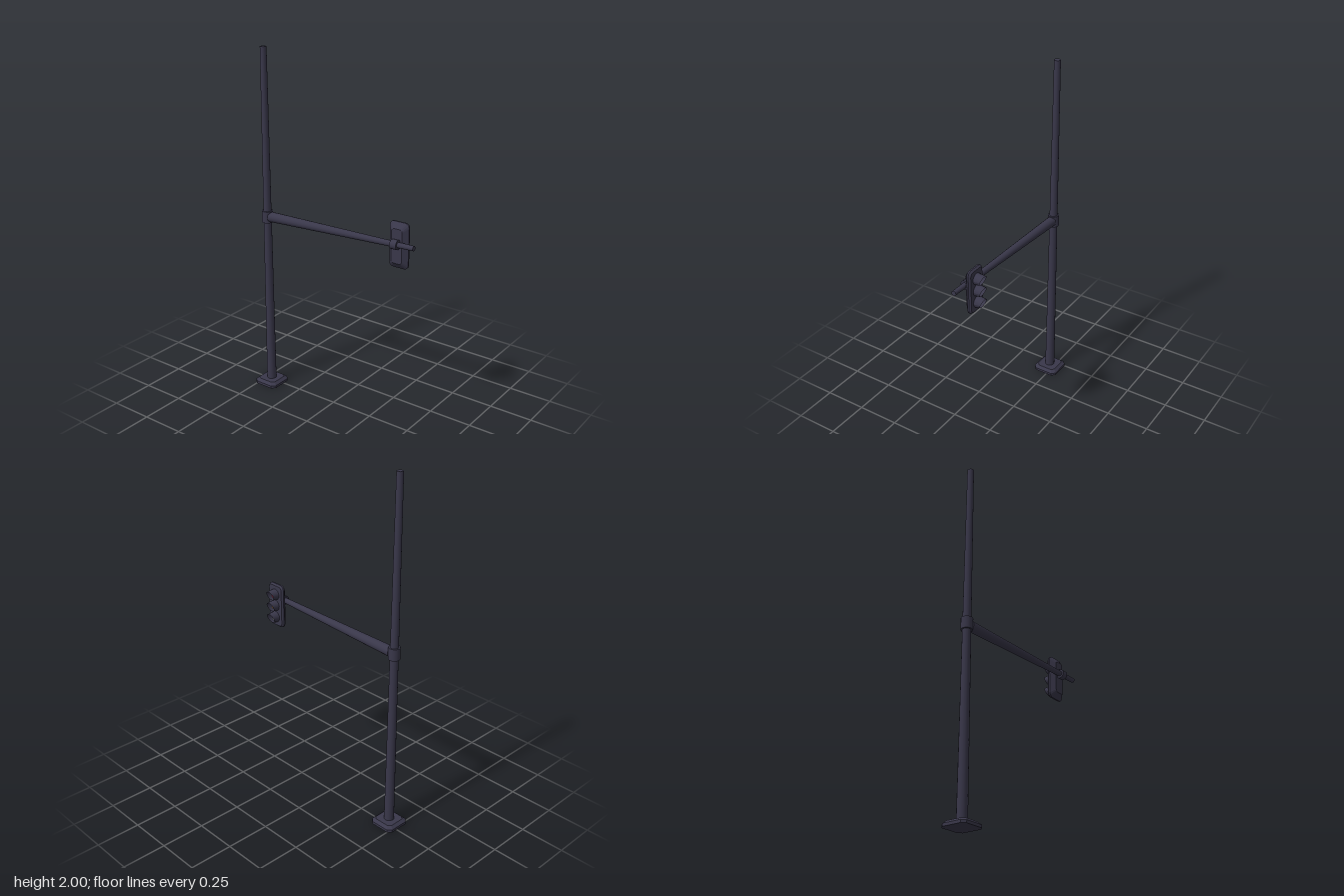
import * as THREE from 'three';

const metal = new THREE.MeshStandardMaterial({ name: 'dark metal', color: 0x39374a });
const hood = new THREE.MeshStandardMaterial({ name: 'dark hood', color: 0x39374a, side: THREE.DoubleSide });
const red = new THREE.MeshStandardMaterial({ name: 'red lens', color: 0xd83a55 });
const amber = new THREE.MeshStandardMaterial({ name: 'amber lens', color: 0xd8963a });
const pale = new THREE.MeshStandardMaterial({ name: 'pale lens', color: 0xd6dad8 });

function add(parent, name, geometry, material, x = 0, y = 0, z = 0) {
  const mesh = new THREE.Mesh(geometry, material);
  mesh.name = name;
  mesh.position.set(x, y, z);
  parent.add(mesh);
  return mesh;
}

// Outline of a rectangle with rounded (or, with one segment, cut) corners
function outline(hw, hh, r, segments) {
  const points = [];
  [[1, 1], [-1, 1], [-1, -1], [1, -1]].forEach(([sx, sy], corner) => {
    for (let i = 0; i <= segments; i++) {
      const a = (corner + i / segments) * Math.PI / 2;
      points.push([sx * (hw - r) + r * Math.cos(a), sy * (hh - r) + r * Math.sin(a)]);
    }
  });
  return points;
}

// Faceted solid through sections [depth, halfWidth, halfHeight, cornerRadius] along z
function loft(sections, segments) {
  const pos = [], index = [], n = 4 * (segments + 1);
  for (const [z, hw, hh, r] of sections)
    for (const [x, y] of outline(hw, hh, r, segments)) pos.push(x, y, z);
  const last = (sections.length - 1) * n, c = sections.length * n;
  pos.push(0, 0, sections[0][0], 0, 0, sections[sections.length - 1][0]);
  for (let i = 0; i < n; i++) {
    const j = (i + 1) % n;
    for (let k = 0; k < last; k += n)
      index.push(k + i, k + j, k + n + j, k + i, k + n + j, k + n + i);
    index.push(c, j, i, c + 1, last + i, last + j);
  }
  const g = new THREE.BufferGeometry();
  g.setAttribute('position', new THREE.Float32BufferAttribute(pos, 3));
  g.setIndex(index);
  const flat = g.toNonIndexed();
  flat.computeVertexNormals();
  return flat;
}

// Tube along x whose mouth is cut back towards the bottom
function visorGeometry() {
  const g = new THREE.CylinderGeometry(0.028, 0.032, 0.05, 16, 1, true).rotateZ(-Math.PI / 2);
  const p = g.attributes.position;
  for (let i = 0; i < p.count; i++) {
    const cut = p.getX(i) > 0 ? 0.022 * (0.5 - p.getY(i) / 0.056) : 0;
    p.setX(i, p.getX(i) + 0.025 - cut);
  }
  g.computeVertexNormals();
  return g;
}

export function createModel() {
  const model = new THREE.Group();
  model.name = 'trafficSignal';
  const px = -0.019, pz = -0.445;

  // Foot, pole and collar
  add(model, 'basePlate', loft([[0, 0.075, 0.075, 0.02], [0.015, 0.075, 0.075, 0.02],
    [0.03, 0.058, 0.058, 0.016]], 1).rotateX(-Math.PI / 2), metal, px, 0, pz);
  add(model, 'pole', new THREE.CylinderGeometry(0.018, 0.028, 1.98, 14), metal, px, 1.01, pz);
  add(model, 'collar', new THREE.CylinderGeometry(0.032, 0.032, 0.066, 14), metal, px, 1.053, pz);

  // Tapered arm reaching forward
  const start = new THREE.Vector3(px, 1.053, pz + 0.022);
  const end = new THREE.Vector3(px, 1.085, 0.518);
  const along = end.clone().sub(start);
  const arm = add(model, 'arm', new THREE.CylinderGeometry(0.0135, 0.029, along.length(), 14), metal);
  arm.position.addVectors(start, end).multiplyScalar(0.5);
  arm.quaternion.setFromUnitVectors(new THREE.Vector3(0, 1, 0), along.normalize());
  const clamp = add(model, 'armClamp', new THREE.CylinderGeometry(0.026, 0.026, 0.038, 14), metal, px, 1.081, 0.404);
  clamp.quaternion.copy(arm.quaternion);

  // Signal head facing +x
  const head = new THREE.Group();
  head.name = 'signalHead';
  head.position.set(0, 1.064, 0.403);
  model.add(head);
  add(head, 'housing', loft([[-0.003, 0.032, 0.095, 0.014], [0.022, 0.058, 0.127, 0.024],
    [0.031, 0.058, 0.127, 0.024], [0.041, 0.05, 0.119, 0.02]], 3).rotateY(Math.PI / 2), metal);
  const lens = new THREE.CylinderGeometry(0.03, 0.03, 0.005, 18).rotateZ(-Math.PI / 2);
  const visor = visorGeometry();
  [['red', red, 0.067], ['amber', amber, 0], ['pale', pale, -0.069]].forEach(([name, material, y]) => {
    add(head, name + 'Lens', lens, material, 0.0425, y, 0);
    add(head, name + 'Visor', visor, hood, 0.04, y, 0);
  });
  return model;
}
